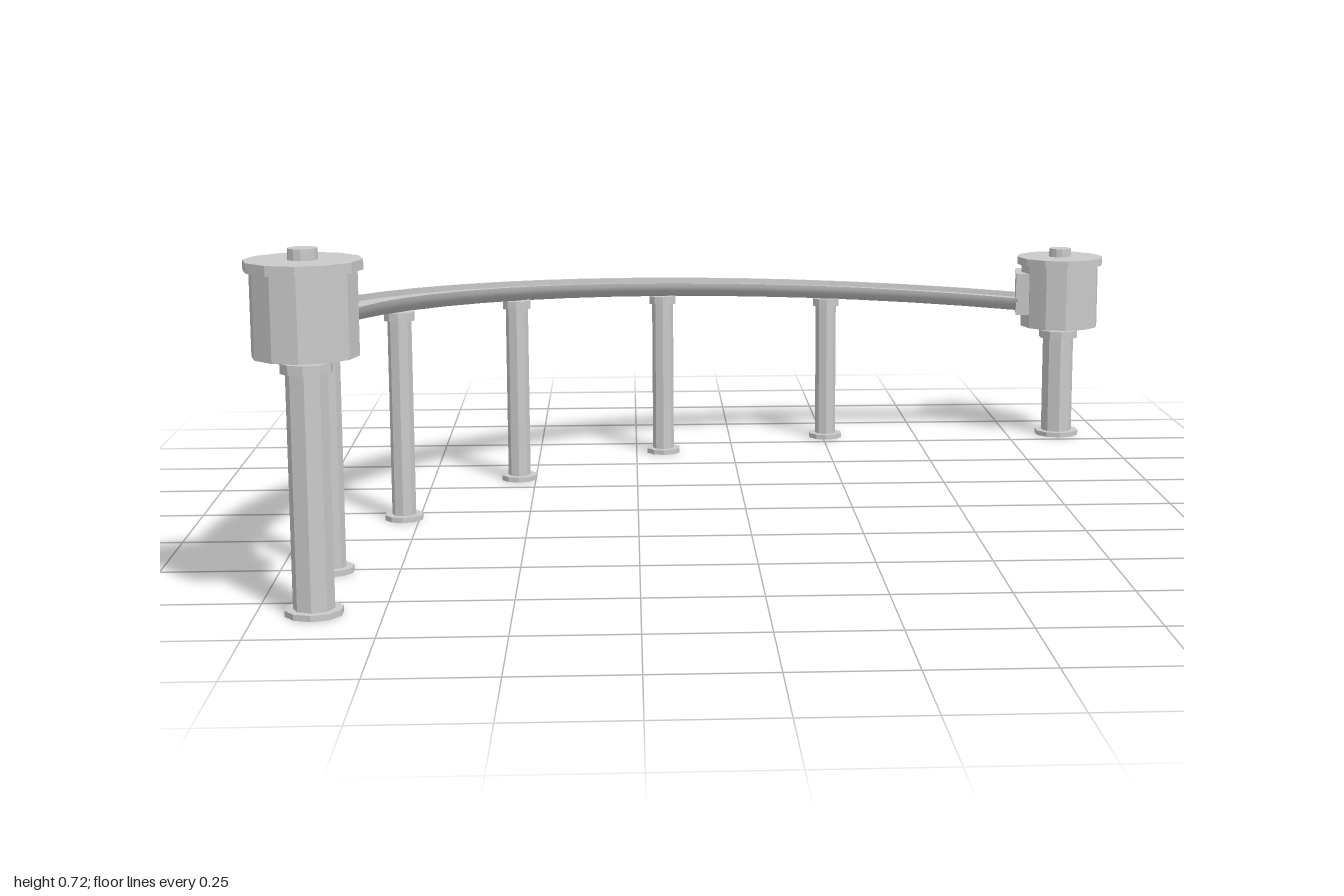
import * as THREE from 'three';
import { toCreasedNormals } from 'three/addons/utils/BufferGeometryUtils.js';

const grey = new THREE.MeshStandardMaterial({ color: 0xcacaca });
grey.name = 'light grey';

// The track follows a level circular arc around this centre
const CENTRE = { x: 0.561, z: 0.601 };

function add(parent, geometry, name, x = 0, y = 0, z = 0) {
  const mesh = new THREE.Mesh(geometry, grey);
  mesh.name = name;
  mesh.position.set(x, y, z);
  parent.add(mesh);
  return mesh;
}

// Upright faceted cylinder between two heights
function drum(parent, name, radius, y0, y1, sides) {
  const geo = toCreasedNormals(new THREE.CylinderGeometry(radius, radius, y1 - y0, sides), 0.3);
  return add(parent, geo, name, 0, (y0 + y1) / 2, 0);
}

// Column with a foot and a cap
function column(parent, name, x, z, top, radii) {
  const g = new THREE.Group();
  g.name = name;
  g.position.set(x, 0, z);
  drum(g, 'foot', radii[0], 0, 0.012, 10);
  drum(g, 'shaft', radii[1], 0.012, top - 0.02, 8);
  drum(g, 'cap', radii[2], top - 0.02, top, 10);
  parent.add(g);
}

// Lidded cup on a thick column, with a collar where the track joins
function tower(parent, name, x, z, y, turn) {
  column(parent, name + 'Column', x, z, y - 0.012, [0.058, 0.041, 0.051]);
  const g = new THREE.Group();
  g.name = name;
  g.position.set(x, y, z);
  drum(g, 'cup', 0.103, 0, 0.166, 12);
  drum(g, 'lid', 0.114, 0.166, 0.186, 12);
  drum(g, 'knob', 0.029, 0.186, 0.208, 12);
  const arm = new THREE.Group();
  arm.name = 'collar';
  arm.rotation.y = turn;
  add(arm, new THREE.BoxGeometry(0.125, 0.11, 0.06), 'collarBlock', 0, 0.09, -0.086);
  g.add(arm);
  parent.add(g);
}

// Round-bellied channel with a flat floor and low rims, swept from angle a0 to a1
function channel(radius, a0, a1, y0, y1, steps) {
  // Outline across the track: offset from the centreline, height
  const section = [];
  for (let i = 0; i <= 12; i++) {
    const b = Math.PI * i / 12;
    section.push([-0.064 * Math.cos(b), 0.04 * (1 - Math.sin(b))]);
  }
  section.push([0.056, 0.04], [0.056, 0.027], [-0.056, 0.027], [-0.056, 0.04]);
  const m = section.length;
  const pos = [], idx = [];
  for (let s = 0; s <= steps; s++) {
    const t = s / steps;
    const a = a0 + (a1 - a0) * t;
    for (const [u, v] of section) {
      pos.push(
        CENTRE.x + (radius + u) * Math.cos(a),
        y0 + (y1 - y0) * t + v,
        CENTRE.z + (radius + u) * Math.sin(a),
      );
    }
  }
  for (let s = 0; s < steps; s++) {
    for (let k = 0; k < m; k++) {
      const a = s * m + k, b = s * m + (k + 1) % m;
      idx.push(a, b, a + m, b, b + m, a + m);
    }
  }
  // End caps
  const outline = section.map(([u, v]) => new THREE.Vector2(u, v));
  const last = steps * m;
  for (const [a, b, c] of THREE.ShapeUtils.triangulateShape(outline, [])) {
    idx.push(a, c, b, last + a, last + b, last + c);
  }
  const geo = new THREE.BufferGeometry();
  geo.setAttribute('position', new THREE.Float32BufferAttribute(pos, 3));
  geo.setIndex(idx);
  return toCreasedNormals(geo, 0.6);
}

export function createModel() {
  const model = new THREE.Group();
  model.name = 'marbleTrack';

  // End towers
  tower(model, 'highTower', -0.886, 0.828, 0.51, 0);
  tower(model, 'lowTower', 0.886, -0.828, 0.297, Math.PI / 2 - 0.15);

  // Curved track sinking evenly from the high to the low tower
  const track = channel(1.461, Math.PI - 0.08, Math.PI * 1.5 + 0.148, 0.527, 0.337, 18);
  add(model, track, 'track');

  // Slim posts, evenly spaced under the track
  for (let i = 0; i < 5; i++) {
    const a = Math.PI + 0.06 + 0.325 * i;
    const x = CENTRE.x + 1.452 * Math.cos(a);
    const z = CENTRE.z + 1.452 * Math.sin(a);
    column(model, 'post', x, z, 0.514 - 0.0343 * i, [0.044, 0.027, 0.035]);
  }

  // Marble resting at the high end
  add(model, new THREE.SphereGeometry(0.038, 20, 14), 'marble', -0.897, 0.579, 0.669);

  return model;
}
